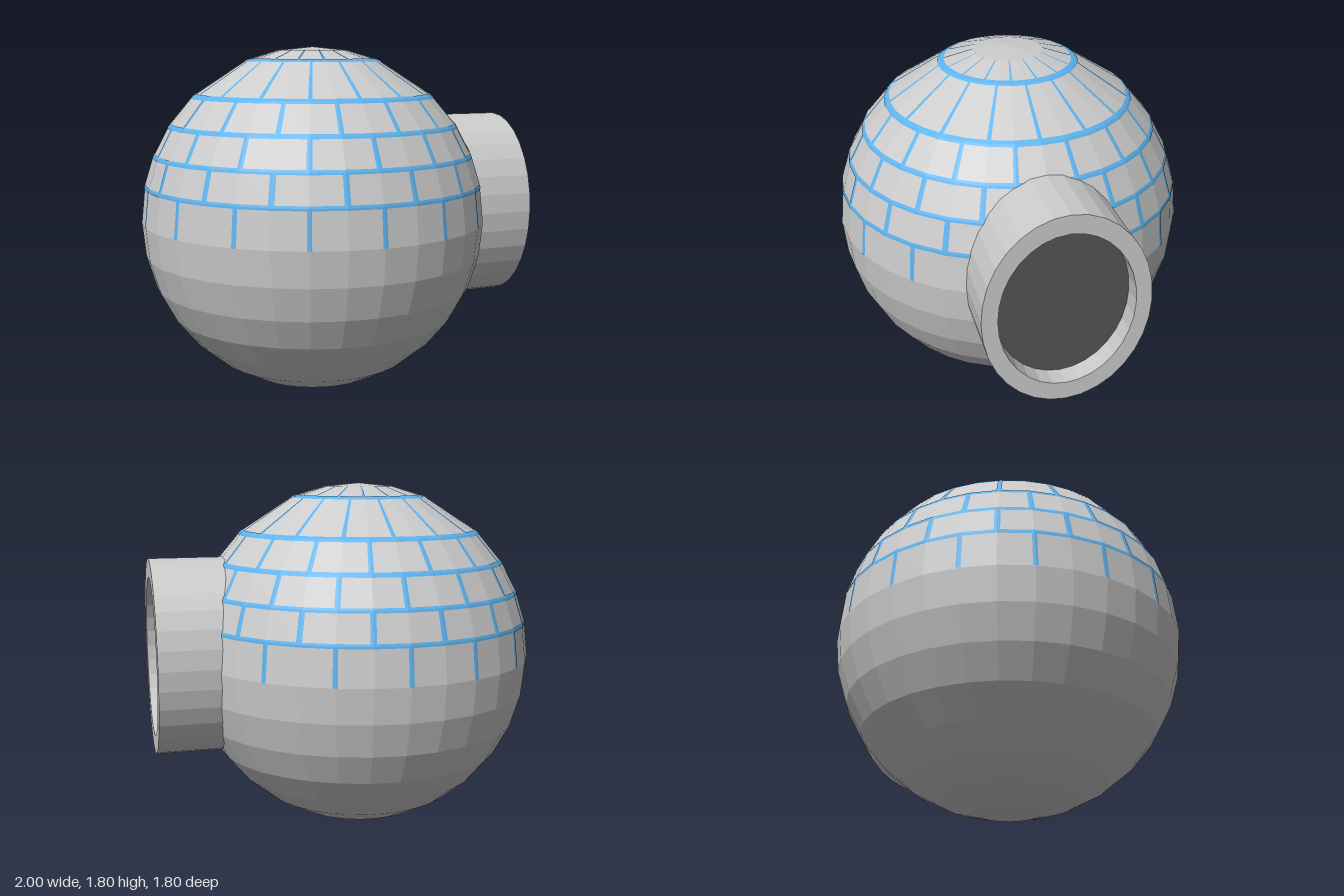
import * as THREE from 'three';

const R = 0.9, SIDES = 32;
const mat = (color) => new THREE.MeshStandardMaterial({ color, flatShading: true });

// Heights (from the ball's centre) where the faceted rings lie, bottom to top
const ringY = [];
for (let i = 16; i >= 8; i--) ringY.push(R * Math.cos((i * Math.PI) / 16));
const courses = [0.19, 0.345, 0.498, 0.649];
ringY.push(...courses, R * Math.cos(Math.PI / 8), R * Math.cos(Math.PI / 16), R);
const ballR = (y) => Math.sqrt(Math.max(0, R * R - y * y));

// Radius of the faceted profile at height y
function profileR(y) {
  let i = 0;
  while (i < ringY.length - 2 && y > ringY[i + 1]) i++;
  const t = (y - ringY[i]) / (ringY[i + 1] - ringY[i]);
  return THREE.MathUtils.lerp(ballR(ringY[i]), ballR(ringY[i + 1]), t);
}

// Point on the faceted ball; `off` is the angle from the facet edge at `edge`
function facetPoint(y, edge, off) {
  const half = Math.PI / SIDES;
  const r = (profileR(y) * Math.cos(half)) / Math.cos(half - Math.abs(off));
  return [r * Math.sin(edge + off), y, r * Math.cos(edge + off)];
}

function lathe(name, points, material) {
  const pts = points.map(([r, y]) => new THREE.Vector2(r, y));
  const mesh = new THREE.Mesh(new THREE.LatheGeometry(pts, SIDES), material);
  mesh.name = name;
  return mesh;
}

// One row of 16 upright joints between two heights
function jointRow(y0, y1, stagger, halfWidth, material) {
  const pos = [];
  for (let k = 0; k < 16; k++) {
    const edge = ((2 * k + stagger) * Math.PI) / 16;
    for (const [a, b] of [[-halfWidth, 0], [0, halfWidth]]) {
      const p = facetPoint(y0, edge, a), q = facetPoint(y0, edge, b);
      const s = facetPoint(y1, edge, b), t = facetPoint(y1, edge, a);
      pos.push(...p, ...q, ...s, ...p, ...s, ...t);
    }
  }
  const g = new THREE.BufferGeometry();
  g.setAttribute('position', new THREE.Float32BufferAttribute(pos, 3));
  g.computeVertexNormals();
  const mesh = new THREE.Mesh(g, material);
  mesh.name = 'uprightJoints';
  return mesh;
}

export function createModel() {
  const model = new THREE.Group();
  model.name = 'roundHut';
  const grey = mat(0xcccccc), blue = mat(0x5eb3ee), dark = mat(0x555555);
  blue.side = THREE.DoubleSide;

  // Ball-shaped body
  const body = new THREE.Group();
  body.name = 'body';
  body.position.set(-0.1, R, 0);
  body.add(lathe('ball', ringY.map((y) => [ballR(y), y]), grey));

  // Block pattern lying just above the dome
  const pattern = new THREE.Group();
  pattern.name = 'blockPattern';
  pattern.scale.setScalar(1.0025);
  const top = R * Math.cos(Math.PI / 8);
  const lines = [...courses, top];
  lines.forEach((y) => {
    const h = y === top ? 0.007 : 0.011;
    pattern.add(lathe('courseLine', [y - h, y, y + h].map((v) => [profileR(v), v]), blue));
  });
  const rows = [0, ...lines, R * Math.cos(Math.PI / 16)];
  for (let i = 0; i < rows.length - 1; i++) {
    // joints alternate by half a block from row to row
    pattern.add(jointRow(rows[i], rows[i + 1], i % 2, i === 0 ? 0.0135 : 0.017, blue));
  }
  body.add(pattern);

  // Oval entrance tunnel on the left side, with a recessed dark opening
  const tunnel = new THREE.Group();
  tunnel.name = 'entrance';
  tunnel.position.y = 0.925;
  tunnel.rotation.z = -Math.PI / 2;
  tunnel.scale.set(0.505, 1, 0.405);
  tunnel.add(lathe('tunnelWall', [[1, 0.45], [1, 1], [0.81, 1], [0.81, 0.9]], grey));
  tunnel.add(lathe('opening', [[0.81, 0.9], [0, 0.9]], dark));

  model.add(body, tunnel);
  return model;
}
